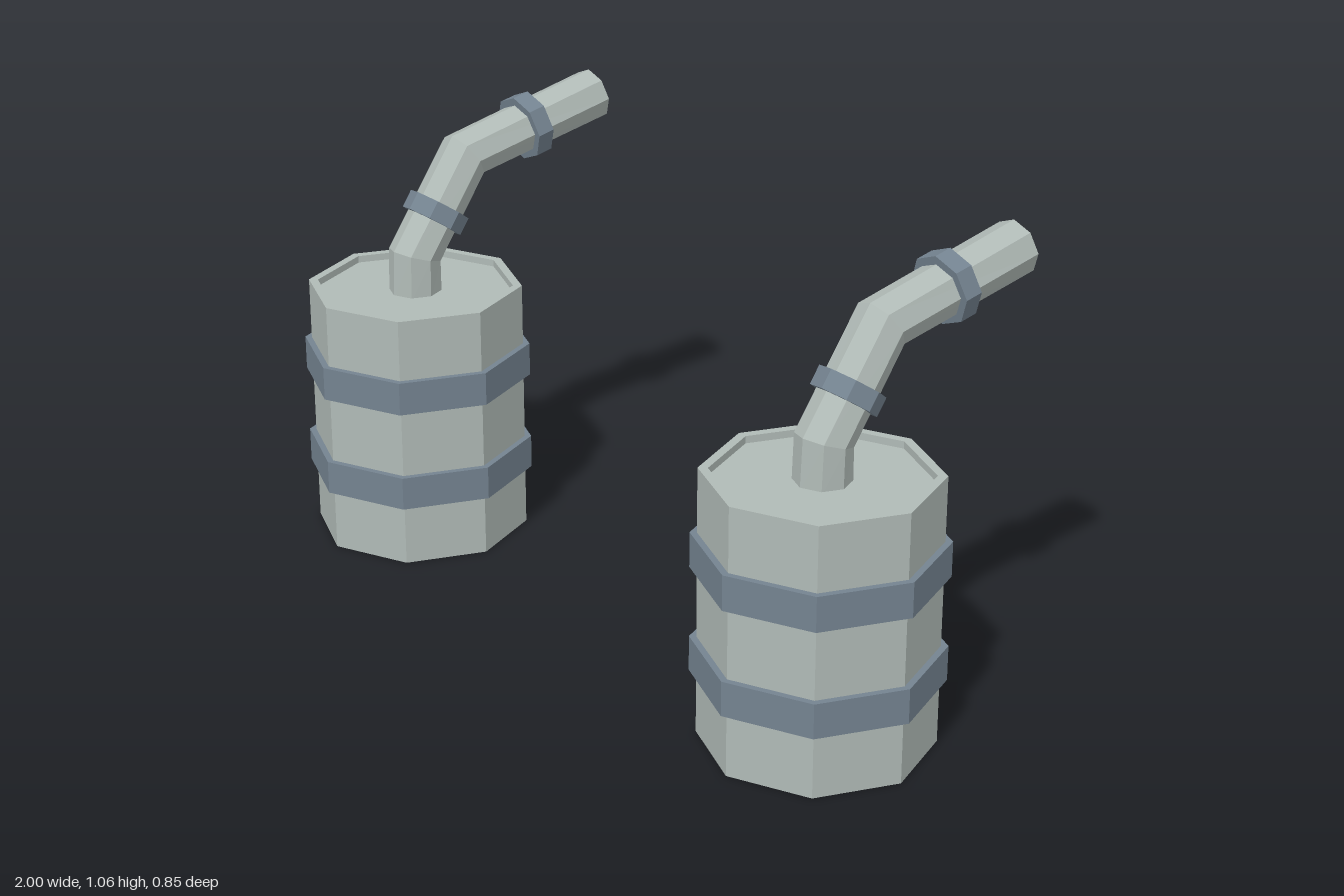
import * as THREE from 'three';

const SIDES = 8;
const bodyMaterial = new THREE.MeshStandardMaterial({ color: 0xb0bab6, flatShading: true });
const bandMaterial = new THREE.MeshStandardMaterial({ color: 0x748390, flatShading: true });

function addMesh(parent, name, geometry, material) {
  const mesh = new THREE.Mesh(geometry, material);
  mesh.name = name;
  parent.add(mesh);
  return mesh;
}

function lathe(profile) {
  return new THREE.LatheGeometry(profile.map(([r, y]) => new THREE.Vector2(r, y)), SIDES);
}

// Square-section collar around the y axis
function collar(inner, outer, height) {
  const h = height / 2;
  return lathe([[inner, -h], [outer, -h], [outer, h], [inner, h]]);
}

// Capped cylinder whose rings are moved onto the corners of a path in the yz plane
function bentPipe(radius, path) {
  const last = path.length - 1;
  const geometry = new THREE.CylinderGeometry(radius, radius, last, SIDES, last);
  const position = geometry.attributes.position;
  const directions = path.slice(1).map((p, i) => p.clone().sub(path[i]).normalize());
  for (let v = 0; v < position.count; v++) {
    const i = Math.round(position.getY(v) + last / 2);
    const tangent = directions[Math.max(i - 1, 0)].clone()
      .add(directions[Math.min(i, last - 1)]).normalize();
    const across = position.getZ(v);
    position.setY(v, path[i].y - tangent.z * across);
    position.setZ(v, path[i].z + tangent.y * across);
  }
  geometry.computeVertexNormals();
  return geometry;
}

function createTank(name) {
  const tank = new THREE.Group();
  tank.name = name;

  // Barrel with a shallow recessed lid
  addMesh(tank, 'barrel', lathe([
    [0, 0], [0.262, 0], [0.262, 0.632], [0.24, 0.632], [0.24, 0.615], [0, 0.615],
  ]), bodyMaterial);

  // Barrel bands
  for (const [bandName, y] of [['lowerBand', 0.192], ['upperBand', 0.44]]) {
    addMesh(tank, bandName, collar(0.25, 0.278, 0.082), bandMaterial).position.y = y;
  }

  // Bent outlet pipe, rising then leaning to the back
  const path = [[0.605, 0], [0.705, -0.002], [0.925, -0.159], [1.0, -0.562]]
    .map(([y, z]) => new THREE.Vector3(0, y, z));
  addMesh(tank, 'outletPipe', bentPipe(0.0645, path), bodyMaterial);

  // Pipe clamps, each square to its pipe section
  const up = new THREE.Vector3(0, 1, 0);
  const clamps = [['lowerClamp', 1, 0.42, 0.078], ['upperClamp', 2, 0.473, 0.082]];
  for (const [clampName, i, t, radius] of clamps) {
    const clamp = addMesh(tank, clampName, collar(0.055, radius, 0.045), bandMaterial);
    clamp.position.lerpVectors(path[i], path[i + 1], t);
    clamp.quaternion.setFromUnitVectors(up, path[i + 1].clone().sub(path[i]).normalize());
  }
  return tank;
}

export function createModel() {
  const model = new THREE.Group();
  model.name = 'twinTanks';
  for (const [name, side] of [['leftTank', 1], ['rightTank', -1]]) {
    const tank = createTank(name);
    tank.position.set(side * 0.722, 0, 0.148);
    model.add(tank);
  }
  return model;
}
